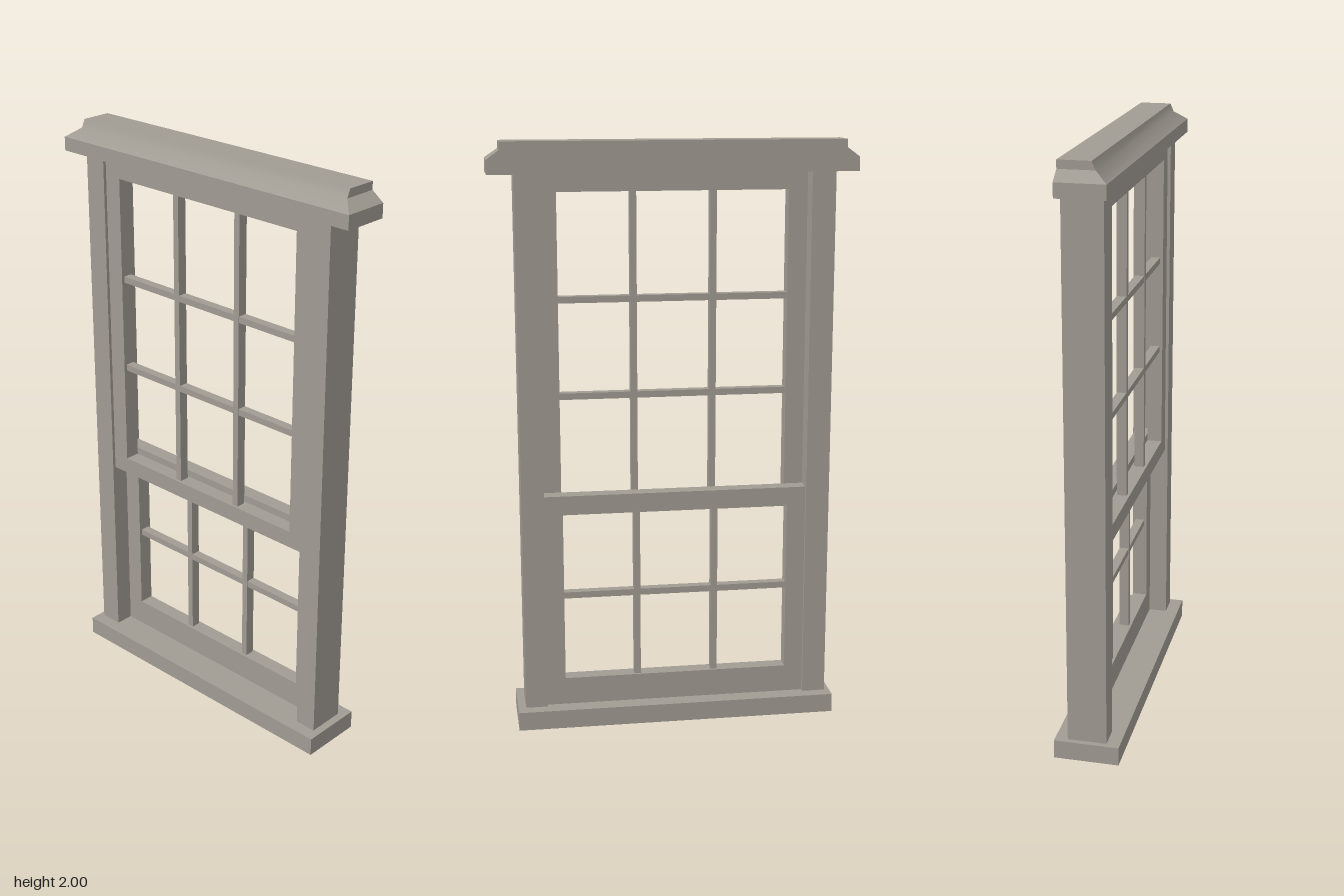
import * as THREE from 'three';
import { toCreasedNormals } from 'three/addons/utils/BufferGeometryUtils.js';

const paint = new THREE.MeshStandardMaterial({ color: 0xa09b92 });
paint.name = 'warm grey paint';

// Box given by its minimum and maximum on each axis
function block(name, [x0, x1], [y0, y1], [z0, z1]) {
  const mesh = new THREE.Mesh(new THREE.BoxGeometry(x1 - x0, y1 - y0, z1 - z0), paint);
  mesh.position.set((x0 + x1) / 2, (y0 + y1) / 2, (z0 + z1) / 2);
  mesh.name = name;
  return mesh;
}

// Solid through rectangular rings [halfWidth, frontZ, y] with a flat back
function steppedSolid(rings, back) {
  const points = rings.flatMap(([w, front, y]) =>
    [[-w, y, front], [w, y, front], [w, y, back], [-w, y, back]]);
  const index = [0, 2, 1, 0, 3, 2];
  for (let r = 0; r < rings.length - 1; r++) {
    for (let i = 0; i < 4; i++) {
      const a = r * 4 + i, b = r * 4 + (i + 1) % 4;
      index.push(a, b, b + 4, a, b + 4, a + 4);
    }
  }
  const t = (rings.length - 1) * 4;
  index.push(t, t + 1, t + 2, t, t + 2, t + 3);
  const geometry = new THREE.BufferGeometry();
  geometry.setAttribute('position', new THREE.Float32BufferAttribute(points.flat(), 3));
  geometry.setIndex(index);
  return toCreasedNormals(geometry, 0.6);
}

// Sash: extruded frame with one opening, plus glazing bars
function sash(name, [y0, y1], [open0, open1], [z0, z1], barHeights) {
  const group = new THREE.Group();
  group.name = name;
  const left = -0.455, right = 0.45, openL = -0.391, openR = 0.386;
  const rect = (T, a, b, c, d) => new T([[a, c], [b, c], [b, d], [a, d]]
    .map(([x, y]) => new THREE.Vector2(x, y)));
  const outline = rect(THREE.Shape, left, right, y0, y1);
  outline.holes.push(rect(THREE.Path, openL, openR, open0, open1));
  const frame = new THREE.Mesh(
    new THREE.ExtrudeGeometry(outline, { depth: z1 - z0, bevelEnabled: false }), paint);
  frame.position.z = z0;
  frame.name = 'sashFrame';
  group.add(frame);

  const mid = (z0 + z1) / 2, bar = 0.011;
  for (const x of [-0.138, 0.132]) {
    group.add(block('verticalGlazingBar', [x - bar, x + bar], [open0, open1], [mid - 0.017, mid + 0.017]));
  }
  for (const y of barHeights) {
    group.add(block('horizontalGlazingBar', [openL, openR], [y - bar, y + bar], [mid - 0.016, mid + 0.016]));
  }
  return group;
}

export function createModel() {
  const model = new THREE.Group();
  model.name = 'sashWindow';

  // Sill and side jambs
  model.add(block('sill', [-0.553, 0.553], [0, 0.065], [-0.11, 0.11]));
  model.add(block('rightJamb', [-0.535, -0.455], [0.065, 1.895], [-0.067, 0.065]));
  model.add(block('leftJamb', [0.45, 0.526], [0.065, 1.895], [-0.067, 0.065]));

  // Moulded head with mitred corners
  const head = new THREE.Mesh(steppedSolid([
    [0.613, 0.092, 1.895],
    [0.613, 0.092, 1.942],
    [0.571, 0.05, 1.973],
    [0.571, 0.038, 2],
  ], -0.067), paint);
  head.name = 'head';
  model.add(head);

  // Upper sash slides in front of the lower one
  model.add(sash('upperSash', [0.735, 1.895], [0.793, 1.833], [0.001, 0.054], [1.476, 1.148]));
  model.add(sash('lowerSash', [0.065, 0.817], [0.16, 0.755], [-0.052, 0], [0.46]));

  return model;
}
